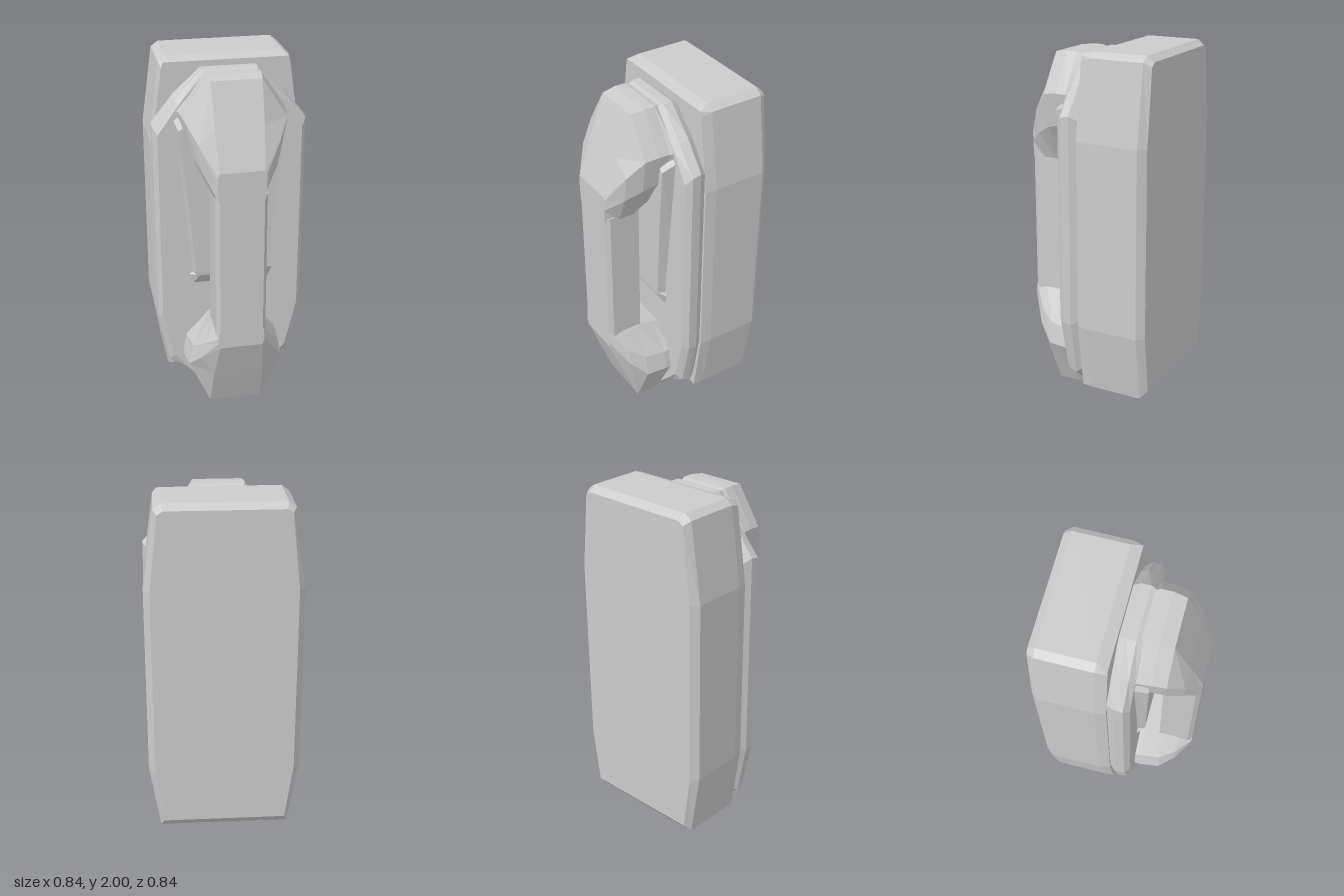
import * as THREE from 'three';

const material = new THREE.MeshStandardMaterial({ color: 0xcccccc, flatShading: true });

// Faceted solid lofted from back to front. Each level is [z, half outline],
// the half outline running top to bottom on the +x side as [x, y, optional z].
function loft(name, levels) {
  const n = levels[0][1].length * 2;
  const positions = [];
  const index = [];
  for (const [z, half] of levels) {
    const right = half.map(([x, y, pz = z]) => [x, y, pz]);
    const left = right.map(([x, y, pz]) => [-x, y, pz]);
    // Counter-clockwise seen from the front
    for (const p of [...left, ...right.reverse()]) positions.push(...p);
  }
  for (let l = 0; l < levels.length - 1; l++) {
    for (let i = 0; i < n; i++) {
      const a = l * n + i, b = l * n + (i + 1) % n;
      index.push(a, b, b + n, a, b + n, a + n);
    }
  }
  const front = (levels.length - 1) * n;
  // Caps are strips between mirrored points, which keeps them symmetric
  for (let i = 0; i < n / 2 - 1; i++) {
    const a = i, b = i + 1, c = n - 2 - i, d = n - 1 - i;
    index.push(a, c, b, a, d, c);
    index.push(front + a, front + b, front + c, front + a, front + c, front + d);
  }
  const geometry = new THREE.BufferGeometry();
  geometry.setAttribute('position', new THREE.Float32BufferAttribute(positions, 3));
  geometry.setIndex(index);
  const flat = geometry.toNonIndexed();
  flat.computeVertexNormals();
  const mesh = new THREE.Mesh(flat, material);
  mesh.name = name;
  return mesh;
}

export function createModel() {
  const model = new THREE.Group();
  model.name = 'wallTelephone';

  // Deep wall box with tapered ends and bevelled back edges
  model.add(loft('wallBox', [
    [-0.42, [[0.31, 1.97], [0.34, 1.95], [0.385, 1.54], [0.385, 0.49], [0.34, 0.16]]],
    [-0.38, [[0.32, 2.0], [0.36, 1.97], [0.42, 1.54], [0.42, 0.49], [0.36, 0.11]]],
    [-0.08, [[0.32, 2.0], [0.36, 1.97], [0.42, 1.54], [0.42, 0.49], [0.36, 0.11]]],
    [-0.02, [[0.34, 1.98], [0.35, 1.95], [0.41, 1.54], [0.41, 0.49], [0.355, 0.11]]],
  ]));

  // Front plate with cut corners
  model.add(loft('frontPlate', [
    [-0.03, [[0.14, 1.93], [0.28, 1.79], [0.39, 1.64], [0.39, 0.52], [0.34, 0.22], [0.25, 0.15], [0.14, 0.1]]],
    [0.02, [[0.15, 1.96], [0.30, 1.82], [0.42, 1.67], [0.42, 0.49], [0.365, 0.18], [0.27, 0.12], [0.15, 0.01]]],
    [0.07, [[0.15, 1.96], [0.30, 1.80], [0.42, 1.66], [0.42, 0.50], [0.36, 0.20], [0.27, 0.13], [0.15, 0.01]]],
    [0.10, [[0.14, 1.95], [0.28, 1.78], [0.395, 1.62], [0.395, 0.52], [0.33, 0.24], [0.25, 0.14], [0.14, 0.01]]],
  ]));

  // Tapered raised panel behind the grip, ending in a sloped foot
  model.add(loft('raisedPanel', [
    [0.09, [[0.14, 1.85], [0.31, 1.70], [0.265, 1.25], [0.22, 0.79], [0.25, 0.77], [0.22, 0.70]]],
    [0.14, [[0.14, 1.80, 0.17], [0.29, 1.66, 0.17], [0.245, 1.25, 0.157], [0.205, 0.80, 0.142],
      [0.20, 0.78, 0.14], [0.19, 0.77, 0.135]]],
  ]));

  const handset = new THREE.Group();
  handset.name = 'handset';

  // Earpiece
  handset.add(loft('earpiece', [
    [0.08, [[0.13, 1.95], [0.30, 1.75], [0.27, 1.58], [0.14, 1.42]]],
    [0.12, [[0.145, 1.96], [0.285, 1.75], [0.255, 1.58], [0.14, 1.42]]],
    [0.18, [[0.145, 1.96], [0.28, 1.75], [0.25, 1.57], [0.14, 1.39]]],
    [0.255, [[0.135, 1.95], [0.27, 1.74], [0.24, 1.55], [0.14, 1.35]]],
    [0.34, [[0.13, 1.73], [0.215, 1.64], [0.20, 1.50], [0.14, 1.35]]],
    [0.42, [[0.12, 1.51], [0.13, 1.49], [0.13, 1.43], [0.125, 1.35]]],
  ]));

  // Mouthpiece
  handset.add(loft('mouthpiece', [
    [0.08, [[0.13, 0.52], [0.26, 0.38], [0.28, 0.27], [0.15, 0.01]]],
    [0.13, [[0.14, 0.53], [0.26, 0.38], [0.285, 0.27], [0.155, 0.005]]],
    [0.25, [[0.14, 0.56], [0.245, 0.39], [0.27, 0.27], [0.15, 0.0]]],
    [0.34, [[0.14, 0.56], [0.20, 0.45], [0.215, 0.36], [0.14, 0.24]]],
    [0.42, [[0.125, 0.56], [0.13, 0.52], [0.13, 0.49], [0.12, 0.46]]],
  ]));

  // Straight grip with bevelled front edges
  handset.add(loft('grip', [
    [0.22, [[0.14, 1.37], [0.14, 0.54]]],
    [0.395, [[0.14, 1.37], [0.14, 0.54]]],
    [0.42, [[0.12, 1.37], [0.12, 0.54]]],
  ]));

  model.add(handset);
  return model;
}
